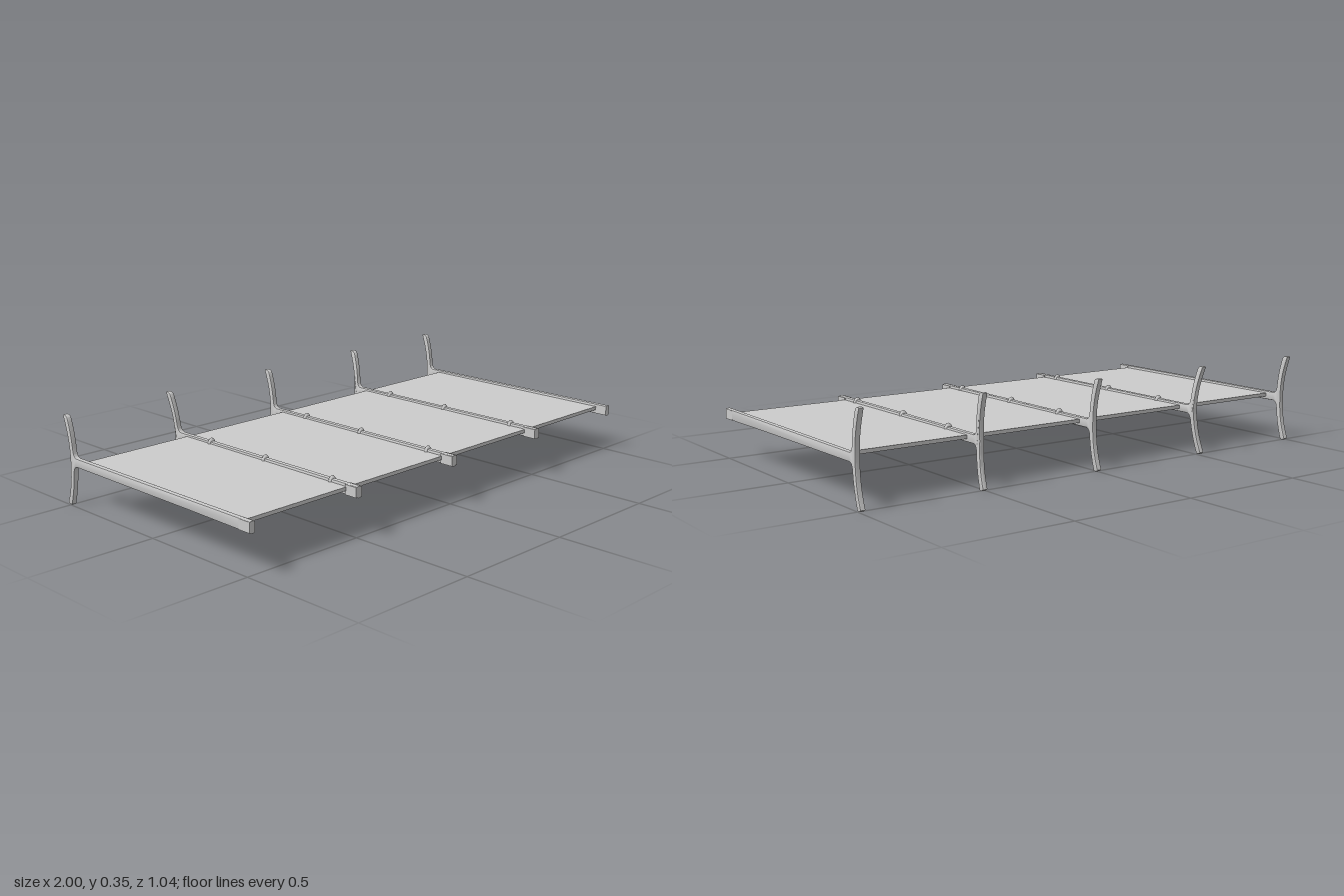
import * as THREE from 'three';
import { toCreasedNormals } from 'three/addons/utils/BufferGeometryUtils.js';

const MID = 0.178; // height of the rods' centre line
const material = new THREE.MeshStandardMaterial({ color: 0xcccccc, side: THREE.DoubleSide });

function part(name, geometry, x = 0, y = 0, z = 0) {
  const mesh = new THREE.Mesh(geometry, material);
  mesh.name = name;
  mesh.position.set(x, y, z);
  return mesh;
}

// Side outline (z, y about the centre line): long rod ending in a curved two-pronged fork
function forkShape() {
  const s = new THREE.Shape();
  s.moveTo(0.517, 0.02);
  s.lineTo(0.2, 0.019);
  s.lineTo(-0.45, 0.017);
  s.quadraticCurveTo(-0.464, 0.02, -0.467, 0.04);
  s.quadraticCurveTo(-0.472, 0.105, -0.493, 0.165);
  s.quadraticCurveTo(-0.505, 0.178, -0.52, 0.171);
  s.bezierCurveTo(-0.495, 0.1, -0.488, 0.06, -0.488, 0);
  s.bezierCurveTo(-0.488, -0.06, -0.495, -0.11, -0.518, -0.166);
  s.quadraticCurveTo(-0.505, -0.178, -0.494, -0.171);
  s.quadraticCurveTo(-0.472, -0.105, -0.467, -0.04);
  s.quadraticCurveTo(-0.464, -0.02, -0.45, -0.017);
  s.lineTo(0.2, -0.019);
  s.lineTo(0.517, -0.022);
  return s;
}

// Extrude the outline across x; the prongs drift sideways by `lean` toward their tips
function forkGeometry(width, lean) {
  const bevel = 0.005;
  const g = new THREE.ExtrudeGeometry(forkShape(), {
    depth: width - 2 * bevel, bevelThickness: bevel, bevelSize: bevel,
    bevelOffset: -bevel, bevelSegments: 2, curveSegments: 8,
  });
  g.translate(0, 0, bevel - width / 2);
  g.rotateY(-Math.PI / 2);
  const p = g.attributes.position;
  for (let i = 0; i < p.count; i++) {
    if (p.getZ(i) < -0.44) {
      const t = Math.abs(p.getY(i)) / 0.175;
      p.setX(i, p.getX(i) + lean * t);
    }
  }
  return toCreasedNormals(g, 0.6);
}

export function createModel() {
  const model = new THREE.Group();
  model.name = 'riggedPanel';

  // Thin flat sheet carried by the rods
  model.add(part('sheet', new THREE.BoxGeometry(1.97, 0.014, 0.877), 0, 0.18, 0.0275));

  const ribs = [
    { x: -0.989, lean: 0 }, { x: -0.503, lean: -0.014 }, { x: 0, lean: 0 },
    { x: 0.501, lean: 0.008 }, { x: 0.989, lean: 0 },
  ];
  for (const { x, lean } of ribs) {
    const outer = Math.abs(x) > 0.9;
    const rib = new THREE.Group();
    rib.name = 'rib';
    rib.position.set(x, MID, 0);
    rib.add(part('forkedRod', forkGeometry(0.021, lean)));

    // Thicker front tip
    rib.add(part('rodTip', new THREE.BoxGeometry(outer ? 0.022 : 0.029, 0.038, 0.055), 0, -0.001, 0.489));

    // Bindings around the inner rods
    if (!outer) {
      for (const z of [0.385, 0.035, -0.275]) {
        const knot = new THREE.SphereGeometry(1, 10, 8);
        knot.scale(0.019, 0.03, 0.011);
        rib.add(part('binding', knot, 0, 0, z));
      }
    }
    model.add(rib);
  }
  return model;
}
